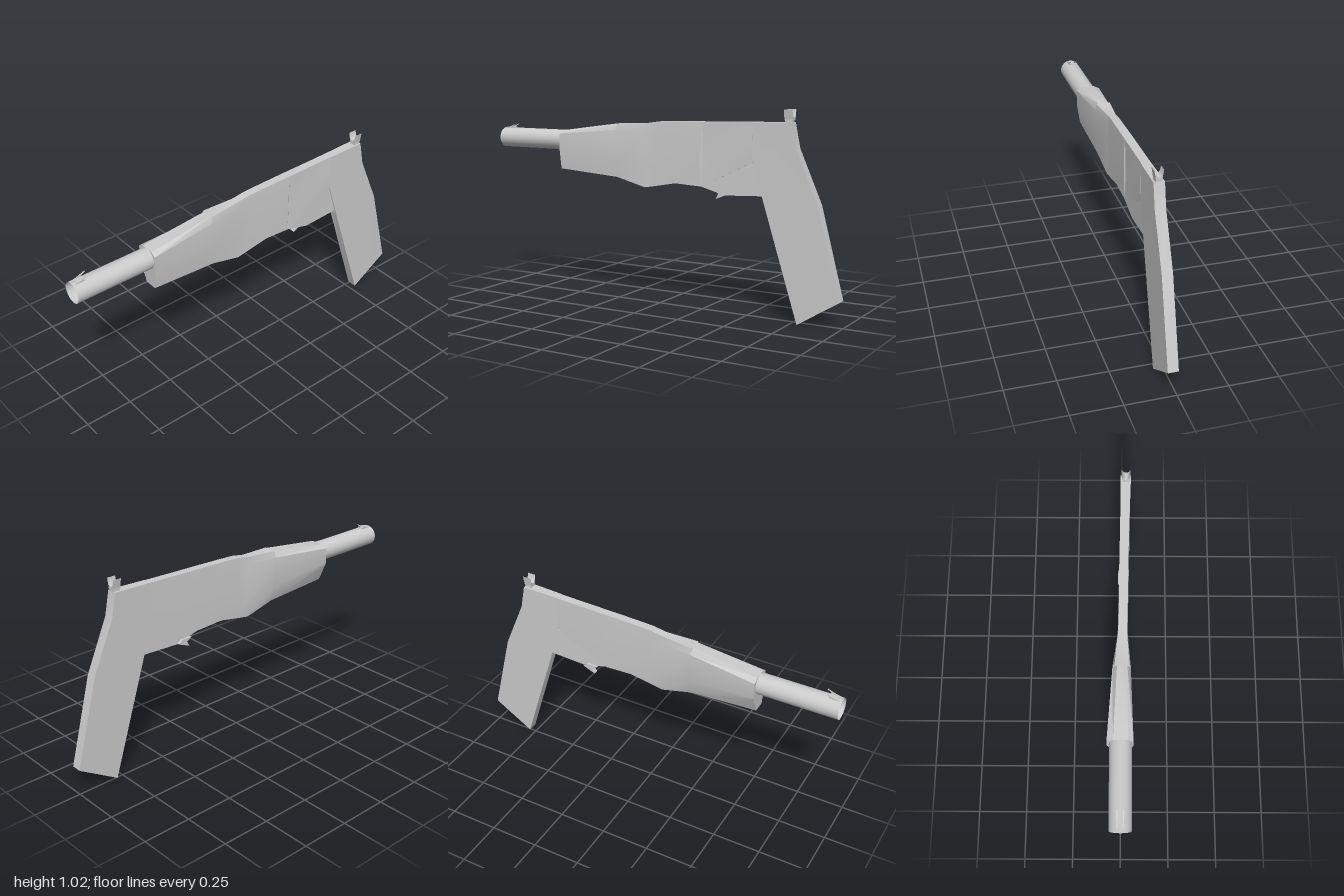
import * as THREE from 'three';
import { toCreasedNormals } from 'three/addons/utils/BufferGeometryUtils.js';

const material = new THREE.MeshStandardMaterial({ color: 0xcccccc, side: THREE.DoubleSide });

function addMesh(parent, name, geometry) {
  const mesh = new THREE.Mesh(geometry, material);
  mesh.name = name;
  parent.add(mesh);
  return mesh;
}

// Skin a row of [y, z] rings, each at its own x, and cap both ends.
function loft(sections) {
  const pos = [];
  const n = sections[0].ring.length;
  const put = (s, i) => pos.push(s.x, ...s.ring[i % n]);
  for (let k = 0; k < sections.length - 1; k++) {
    const a = sections[k], b = sections[k + 1];
    for (let i = 0; i < n; i++) {
      put(a, i); put(a, i + 1); put(b, i);
      put(a, i + 1); put(b, i + 1); put(b, i);
    }
  }
  const first = sections[0], last = sections[sections.length - 1];
  for (let i = 1; i < n - 1; i++) {
    put(first, 0); put(first, i + 1); put(first, i);
    put(last, 0); put(last, i); put(last, i + 1);
  }
  const g = new THREE.BufferGeometry();
  g.setAttribute('position', new THREE.Float32BufferAttribute(pos, 3));
  return toCreasedNormals(g, 0.4);
}

// One body ring: heights of bottom, lower side, upper side and top,
// then z at bottom, side and top for the back and for the front.
function section(x, [bottom, low, high, top], [b0, b1, b2], [f0, f1, f2]) {
  return { x, ring: [
    [bottom, b0], [low, b1], [high, b1], [top, b2],
    [top, f2], [high, f1], [low, f1], [bottom, f0],
  ] };
}

// Flat plate cut from an outline in the xy plane, between two depths.
function plate(points, z0, z1) {
  const shape = new THREE.Shape(points.map(p => new THREE.Vector2(...p)));
  const g = new THREE.ExtrudeGeometry(shape, { depth: z1 - z0, bevelEnabled: false });
  return g.translate(0, 0, z0);
}

export function createModel() {
  const group = new THREE.Group();

  // Body: wide faceted fore-end tapering into a thin slab
  addMesh(group, 'body', loft([
    section(-0.585, [0.675, 0.775, 0.862, 0.878], [-0.02, -0.065, -0.035], [0.045, 0.06, 0.035]),
    section(-0.24, [0.65, 0.735, 0.892, 0.925], [-0.014, -0.04, -0.018], [0.04, 0.047, 0.03]),
    section(-0.235, [0.65, 0.735, 0.892, 0.924], [-0.014, -0.04, -0.03], [0.04, 0.047, 0.04]),
    section(-0.07, [0.605, 0.7, 0.89, 0.931], [-0.01, -0.016, -0.014], [0.032, 0.032, 0.028]),
    section(0, [0.617, 0.71, 0.89, 0.942], [-0.01, -0.014, -0.012], [0.032, 0.032, 0.03]),
    section(0.11, [0.637, 0.72, 0.885, 0.946], [-0.01, -0.013, -0.011], [0.033, 0.034, 0.032]),
    section(0.255, [0.63, 0.73, 0.88, 0.95], [-0.009, -0.011, -0.01], [0.034, 0.037, 0.034]),
    section(0.262, [0.632, 0.73, 0.88, 0.95], [-0.009, -0.011, -0.01], [0.034, 0.031, 0.034]),
    section(0.4, [0.698, 0.76, 0.88, 0.953], [-0.007, -0.008, -0.008], [0.036, 0.036, 0.036]),
    section(0.54, [0.765, 0.8, 0.88, 0.957], [-0.005, -0.006, -0.006], [0.04, 0.042, 0.038]),
  ]));

  // Grip: raked slab with a stepped back edge
  const grip = addMesh(group, 'grip', plate([
    [0.54, 0.957], [0.54, 0.765], [0.785, 0.003], [0.997, 0.135],
    [0.88, 0.58], [0.765, 0.84], [0.74, 0.963],
  ], -0.006, 0.046));
  // Its front face leans in slightly towards the body
  const p = grip.geometry.attributes.position;
  for (let i = 0; i < p.count; i++) {
    if (p.getZ(i) > 0 && p.getX(i) < 0.6) p.setZ(i, 0.04);
  }
  grip.geometry = toCreasedNormals(grip.geometry, 0.4);

  // Web filling the corner between body and grip
  addMesh(group, 'triggerWeb', plate([
    [0.25, 0.632], [0.39, 0.595], [0.593, 0.605], [0.54, 0.767],
  ], -0.006, 0.034));

  // Trigger
  addMesh(group, 'trigger', plate([
    [0.31, 0.615], [0.34, 0.597], [0.325, 0.57], [0.39, 0.597], [0.37, 0.615],
  ], -0.018, 0.008));

  // Barrel: open tube
  const barrel = addMesh(group, 'barrel', new THREE.CylinderGeometry(0.053, 0.053, 0.42, 28, 1, true));
  barrel.rotation.z = Math.PI / 2;
  barrel.position.set(-0.783, 0.826, 0);

  // Front sight: small base with a pair of raked fins
  const frontSight = new THREE.Group();
  frontSight.name = 'frontSight';
  group.add(frontSight);
  const fin = [[-0.99, 0.876], [-0.95, 0.876], [-0.91, 0.901], [-0.947, 0.887]];
  for (const z of [-0.018, 0.012]) {
    addMesh(frontSight, 'frontSightFin', plate(fin, z, z + 0.006));
  }
  const base = addMesh(frontSight, 'frontSightBase', new THREE.BoxGeometry(0.045, 0.006, 0.034));
  base.position.set(-0.95, 0.879, 0);

  // Rear sight: foot carrying a flared U notch
  const rearSight = new THREE.Group();
  rearSight.name = 'rearSight';
  group.add(rearSight);
  const foot = addMesh(rearSight, 'rearSightFoot', new THREE.BoxGeometry(0.035, 0.02, 0.03));
  foot.position.set(0.722, 0.966, 0.022);
  const notch = new THREE.Shape();
  notch.moveTo(-0.022, 1.022);
  notch.lineTo(-0.014, 0.972);
  notch.lineTo(0.014, 0.972);
  notch.lineTo(0.022, 1.022);
  notch.quadraticCurveTo(0.016, 0.985, 0, 0.985);
  notch.quadraticCurveTo(-0.016, 0.985, -0.022, 1.022);
  const notchGeometry = new THREE.ExtrudeGeometry(notch, { depth: 0.044, bevelEnabled: false });
  notchGeometry.rotateY(Math.PI / 2).translate(0.7, 0, 0.022);
  addMesh(rearSight, 'rearSightNotch', notchGeometry);

  return group;
}
